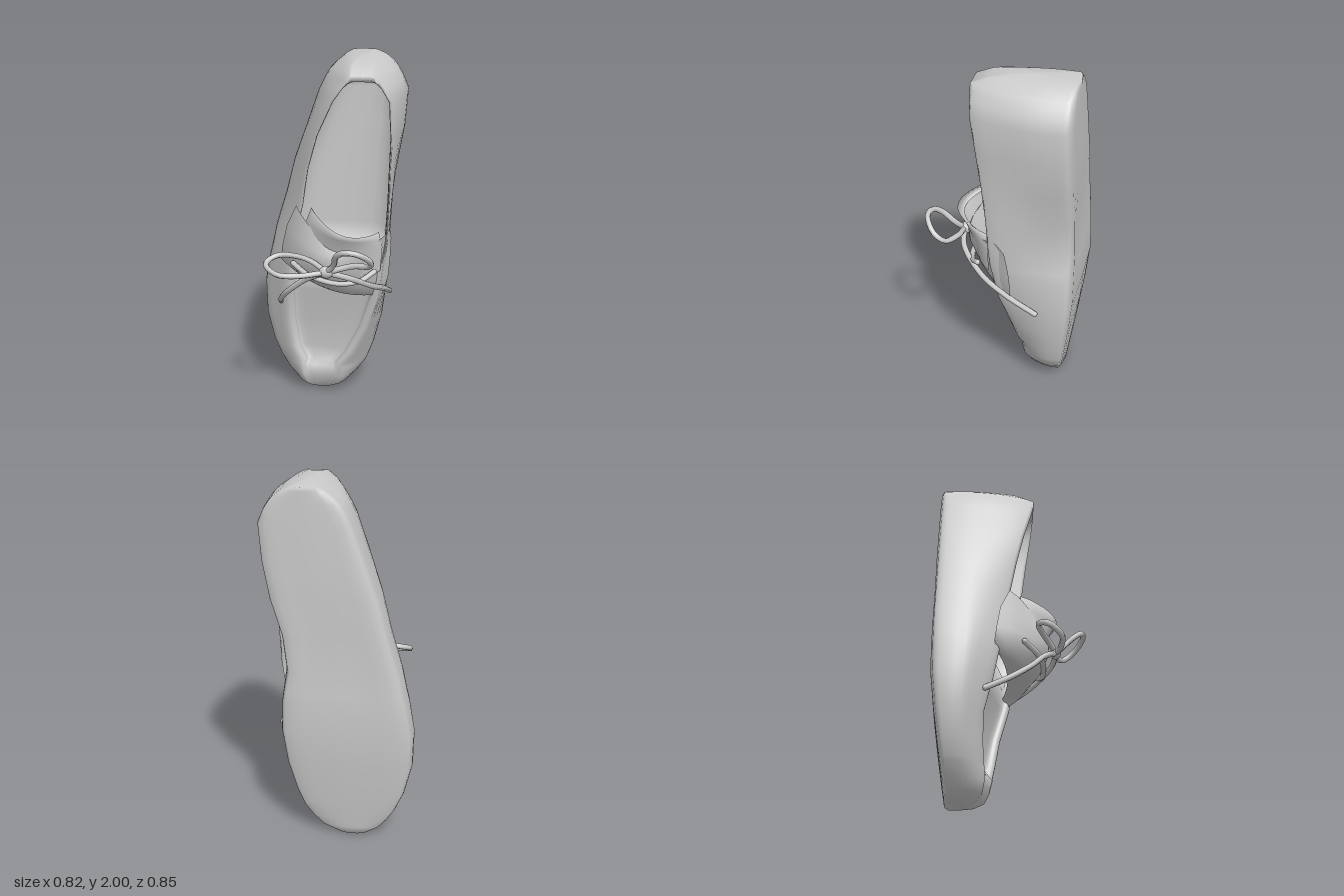
import * as THREE from 'three';

const V = (x, y, z) => new THREE.Vector3(x, y, z);
const { lerp: mid, clamp } = THREE.MathUtils;
const grey = new THREE.MeshStandardMaterial({ color: 0xcccccc });
const thin = new THREE.MeshStandardMaterial({ color: 0xcccccc, side: THREE.DoubleSide });

// Skin a list of equally long rows of points; closed rows wrap around
function loft(rows, closed) {
  const n = rows[0].length, pos = [], idx = [];
  rows.forEach(r => r.forEach(p => pos.push(p.x, p.y, p.z)));
  for (let j = 0; j < rows.length - 1; j++) {
    for (let i = 0; i < (closed ? n : n - 1); i++) {
      const a = j * n + i, b = j * n + (i + 1) % n;
      idx.push(a, a + n, b, b, a + n, b + n);
    }
  }
  const g = new THREE.BufferGeometry();
  g.setAttribute('position', new THREE.Float32BufferAttribute(pos, 3));
  g.setIndex(idx);
  g.computeVertexNormals();
  return g;
}

// Collapse a row to its centre to close an end at height y
function capRow(row, y) {
  const c = row.reduce((s, p) => s.add(p), V(0, 0, 0)).divideScalar(row.length);
  return row.map(() => V(c.x, y, c.z));
}

// Cross-section at height y: outer wall and sole, then the inner wall and floor
function section([y, xL, xR, zT, rL, rR]) {
  const zS = -0.425 + 0.085 * Math.max(0, 1 - y / 0.7) ** 1.3 + 0.015 * Math.max(0, y - 1);
  const h = zT - zS, w = xR - xL;
  // The rim lies lower on the outer side of the foot; the inner side has a waist at the arch
  const zL = zT - 0.085 * clamp(1.8 - y, 0, 1) * clamp(y / 0.4, 0, 1);
  const waist = Math.exp(-(((y - 1.08) / 0.24) ** 2));
  const xW = xR - 0.075 * waist, zArch = zS + 0.015 * waist;
  // Foot cavity is deep and wider than its rim; the toe panel is a shallow recess
  const open = y > 0.85 && y < 1.9, recess = y > 0.19 && y < 0.85;
  const inset = Math.min(0.045, 0.3 * (rR - rL));
  const lip = open || recess ? 0.015 : 0;
  const iL = open ? mid(rL, xL, 0.35) : rL + inset;
  const iR = open ? mid(rR, xR, 0.3) : rR - inset;
  const depth = recess ? 0.05 : 0;
  const fL = open ? zS + 0.085 : zL - depth, fR = open ? zS + 0.085 : zT - depth;
  const pts = [
    V(rL, y, zL), V(mid(rL, xL, 0.55), y, zL - 0.2 * (zL - zS)), V(xL, y, zS + 0.42 * h),
    V(xL, y, zS + 0.12 * h), V(xL + 0.03 * w, y, zS + 0.015), V(mid(xL, xR, 0.3), y, zArch),
    V(mid(xL, xW, 0.7), y, zArch), V(xW - 0.03 * w, y, zS + 0.015), V(xW, y, zS + 0.12 * h),
    V(mid(xR, xW, 0.6), y, zS + 0.45 * h), V(mid(rR, xR, 0.45), y, zT - 0.15 * h), V(rR, y, zT),
    V(mid(rR, iR, 0.5) - lip, y, mid(zT, fR, 0.25)), V(iR, y, mid(zT, fR, 0.8)),
    V(mid(iR, iL, 0.2), y, mid(fR, fL, 0.2)), V(mid(iR, iL, 0.8), y, mid(fR, fL, 0.8)),
    V(iL, y, mid(zL, fL, 0.8)), V(mid(rL, iL, 0.5) + lip, y, mid(zL, fL, 0.25)),
  ];
  return new THREE.CatmullRomCurve3(pts, true).getPoints(pts.length * 3).slice(0, -1);
}

// Arched sheet; each row: right end x, y, left end x, y, edge z, peak z, sag of the middle
const archedSheet = rows => loft(rows.map(([x0, y0, x1, y1, zEdge, zPeak, sag]) =>
  Array.from({ length: 21 }, (_, i) => {
    const t = i / 20, s = Math.abs(Math.sin(Math.PI * t));
    return V(mid(x0, x1, t), mid(y0, y1, t) - sag * s, mid(zEdge, zPeak, s ** 0.8));
  })), false);

export function createModel() {
  const shoe = new THREE.Group();
  shoe.name = 'shoe';
  const add = (name, geo, mat = grey) => {
    const m = new THREE.Mesh(geo, mat);
    m.name = name;
    shoe.add(m);
    return m;
  };

  // Body from toe to heel: y, outer x range, rim z, rim x range
  const rows = [
    [0.008, -0.15, 0.0, -0.19, -0.12, -0.03],
    [0.05, -0.22, 0.09, -0.14, -0.16, 0.03],
    [0.11, -0.27, 0.145, -0.115, -0.18, 0.06],
    [0.175, -0.31, 0.19, -0.10, -0.19, 0.06],
    [0.2, -0.32, 0.2, -0.097, -0.19, 0.06],
    [0.28, -0.355, 0.23, -0.085, -0.23, 0.12],
    [0.45, -0.395, 0.275, -0.06, -0.26, 0.20],
    [0.65, -0.40, 0.305, -0.01, -0.26, 0.26],
    [0.82, -0.37, 0.32, 0.02, -0.24, 0.28],
    [0.88, -0.355, 0.325, 0.03, -0.22, 0.29],
    [1.0, -0.33, 0.335, 0.035, -0.20, 0.31],
    [1.2, -0.27, 0.35, 0.045, -0.155, 0.32],
    [1.4, -0.22, 0.365, 0.065, -0.125, 0.325],
    [1.6, -0.15, 0.39, 0.09, -0.07, 0.33],
    [1.8, -0.08, 0.405, 0.12, 0.02, 0.32],
    [1.87, -0.045, 0.375, 0.13, 0.07, 0.28],
    [1.91, -0.02, 0.35, 0.135, 0.10, 0.25],
    [1.94, 0.01, 0.325, 0.135, 0.11, 0.23],
    [1.975, 0.055, 0.28, 0.05, 0.11, 0.22],
    [1.995, 0.09, 0.23, -0.05, 0.13, 0.2],
  ].map(section);
  add('body', loft([capRow(rows[0], 0), ...rows, capRow(rows.at(-1), 2)], true));

  // Saddle strap arching over the instep, its front edge tucked onto the toe panel
  add('saddle', archedSheet([
    [-0.22, 0.81, 0.29, 0.69, -0.08, -0.02, 0],
    [-0.23, 0.8, 0.29, 0.66, -0.08, 0.09, 0],
    [-0.29, 0.85, 0.32, 0.76, -0.09, 0.165, 0],
    [-0.28, 0.93, 0.33, 0.88, -0.08, 0.21, 0],
    [-0.25, 1.06, 0.335, 1.0, -0.06, 0.21, 0.06],
    [-0.19, 1.19, 0.33, 1.06, -0.01, 0.19, 0.12],
  ]), thin);

  // Tongue standing out of the opening, its tip folded back
  add('tongue', archedSheet([
    [-0.15, 0.84, 0.28, 0.84, 0.04, 0.15, 0],
    [-0.15, 1.0, 0.29, 0.98, 0.04, 0.19, 0.01],
    [-0.13, 1.12, 0.28, 1.03, 0.05, 0.23, 0],
    [-0.1, 1.2, 0.27, 1.07, 0.05, 0.26, 0.02],
    [-0.09, 1.18, 0.26, 1.05, 0.04, 0.22, 0.02],
  ]), thin);

  // Laces: two bow loops, two tails and the crossing strand, with rounded tips
  const lace = (name, pts) => {
    const path = pts.map(p => V(...p));
    add(name, new THREE.TubeGeometry(new THREE.CatmullRomCurve3(path), 28, 0.016, 6));
    [path[0], path.at(-1)].forEach(p =>
      add(name + 'Tip', new THREE.SphereGeometry(0.016, 6, 5)).position.copy(p));
  };
  lace('rightBow', [[0, 0.9, 0.25], [-0.08, 0.94, 0.2], [-0.17, 0.955, 0.16], [-0.28, 0.95, 0.145],
    [-0.335, 0.92, 0.2], [-0.27, 0.885, 0.265], [-0.16, 0.88, 0.27], [0, 0.9, 0.25]]);
  lace('leftBow', [[0, 0.9, 0.25], [0.045, 0.96, 0.29], [0.06, 1.03, 0.36], [0.1, 1.065, 0.4],
    [0.17, 1.065, 0.41], [0.24, 1.01, 0.36], [0.235, 0.96, 0.3], [0.14, 0.94, 0.25], [0, 0.9, 0.25]]);
  lace('rightTail', [[0, 0.9, 0.25], [-0.12, 0.83, 0.18], [-0.235, 0.72, 0.1], [-0.285, 0.63, -0.02], [-0.3, 0.57, -0.14]]);
  lace('leftTail', [[0, 0.9, 0.25], [0.12, 0.86, 0.22], [0.24, 0.77, 0.09], [0.3, 0.7, -0.06], [0.325, 0.62, -0.23]]);
  lace('crossLace', [[-0.2, 0.88, 0.07], [-0.1, 0.84, 0.15], [0.05, 0.81, 0.18], [0.17, 0.82, 0.16], [0.25, 0.86, 0.11]]);

  // Knot
  const knot = add('knot', new THREE.SphereGeometry(0.038, 10, 8));
  knot.position.set(0, 0.9, 0.245);
  knot.scale.set(1.1, 0.9, 0.8);
  return shoe;
}
